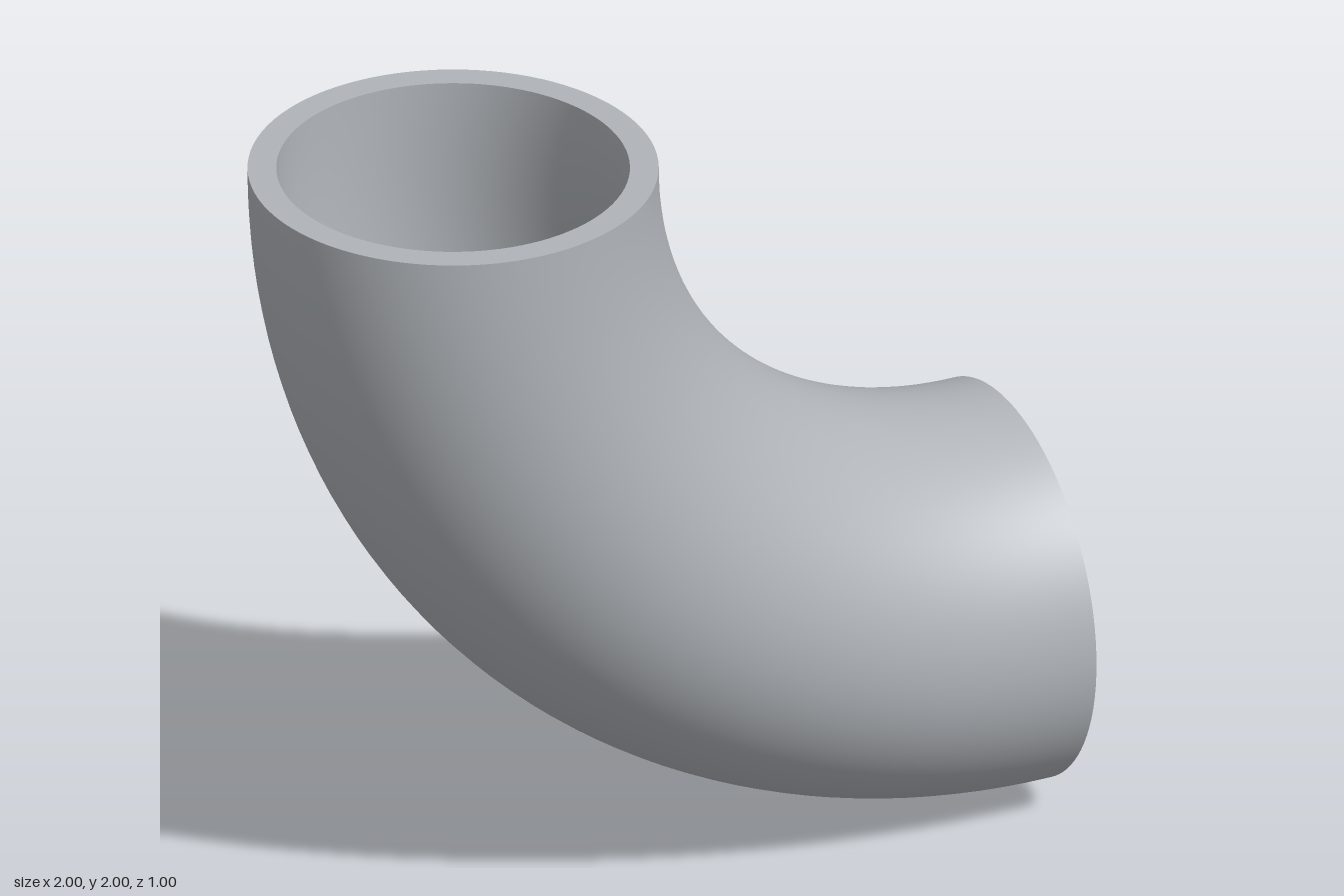
import * as THREE from 'three';

const BEND = 1.5, OUTER = 0.5, INNER = 0.43, SIDES = 96, STEPS = 48;

// Quarter torus curving from the top opening down to the side opening
function bend(radius) {
  return new THREE.TorusGeometry(BEND, radius, SIDES, STEPS, Math.PI / 2)
    .rotateZ(Math.PI)
    .translate(1, 2, 0);
}

// Turns a surface inside out
function invert(geometry) {
  const index = geometry.index;
  for (let i = 0; i < index.count; i += 3) {
    const a = index.getX(i);
    index.setX(i, index.getX(i + 1));
    index.setX(i + 1, a);
  }
  const n = geometry.attributes.normal;
  for (let i = 0; i < n.count; i++) n.setXYZ(i, -n.getX(i), -n.getY(i), -n.getZ(i));
  return geometry;
}

export function createModel() {
  const group = new THREE.Group();
  group.name = 'pipeElbow';
  const steel = new THREE.MeshStandardMaterial({ color: 0xb0b4b9 });
  steel.name = 'steelGrey';

  const add = (name, geometry) => {
    const mesh = new THREE.Mesh(geometry, steel);
    mesh.name = name;
    group.add(mesh);
  };

  // Pipe walls
  add('outerWall', bend(OUTER));
  add('innerWall', invert(bend(INNER)));

  // Flat annular rims closing the wall at each opening
  const rim = () => new THREE.RingGeometry(INNER, OUTER, SIDES);
  add('topRim', rim().rotateX(-Math.PI / 2).translate(-0.5, 2, 0));
  add('sideRim', rim().rotateY(Math.PI / 2).translate(1, 0.5, 0));

  return group;
}
